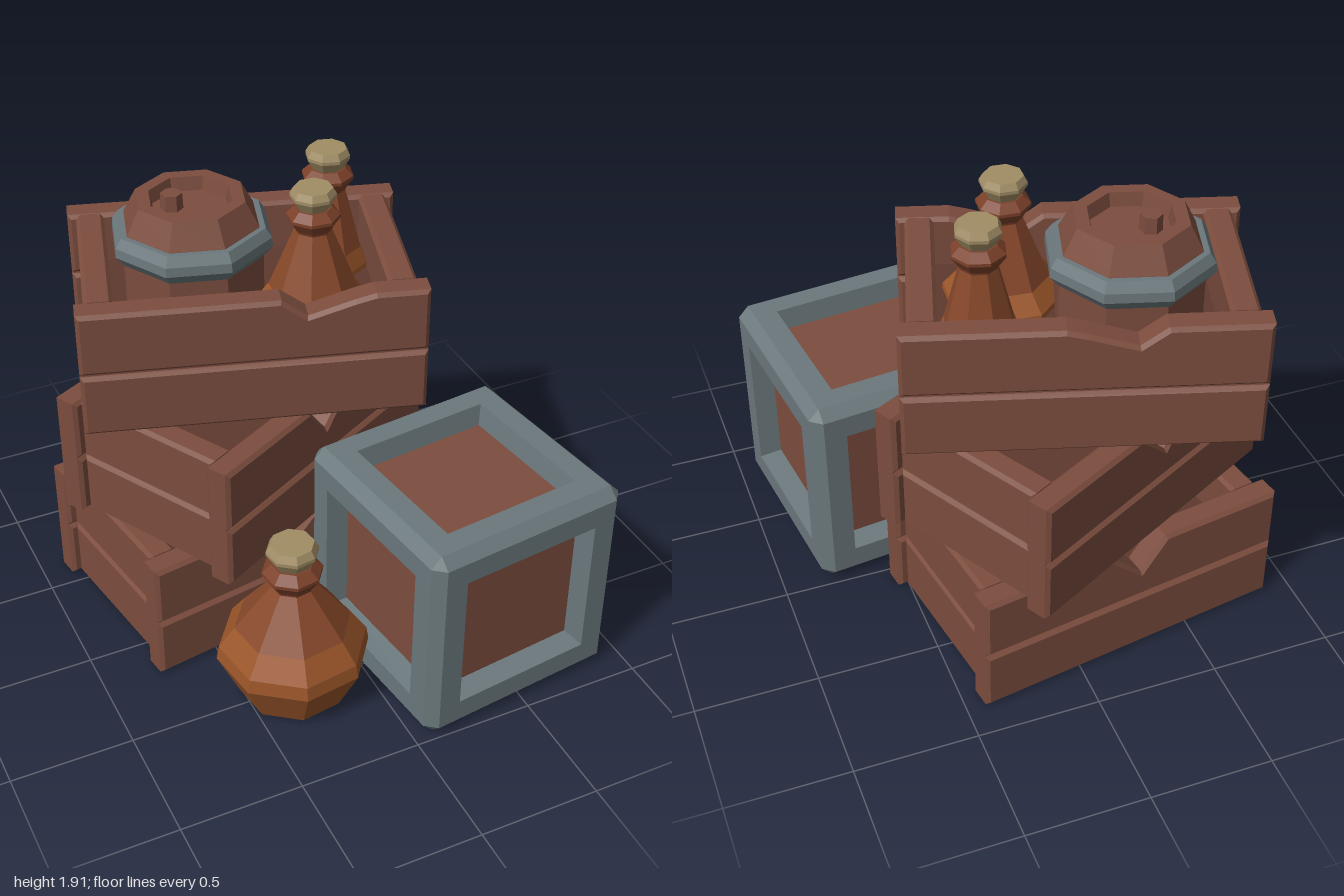
import * as THREE from 'three';
import { ConvexGeometry } from 'three/addons/geometries/ConvexGeometry.js';

const mat = (color) => new THREE.MeshStandardMaterial({ color, flatShading: true });
const wood = mat(0x7c4d3e), darkWood = mat(0x5e392e), metal = mat(0x6b787c);
const glass = mat(0x9a5529), shoulderGlass = mat(0x87482a), neckGlass = mat(0x7c4129), cork = mat(0xa18d66);

function add(parent, name, geometry, material, x = 0, y = 0, z = 0) {
  const mesh = new THREE.Mesh(geometry, material);
  mesh.name = name;
  mesh.position.set(x, y, z);
  parent.add(mesh);
  return mesh;
}

function group(parent, name, x, y, z, ry = 0) {
  const g = new THREE.Group();
  g.name = name;
  g.position.set(x, y, z);
  g.rotation.y = ry;
  parent.add(g);
  return g;
}

const lathe = (pts, sides, phi = 0) =>
  new THREE.LatheGeometry(pts.map(([r, y]) => new THREE.Vector2(r, y)), sides, phi);

const H = 0.533, T = 0.112, BEVEL = 0.015, INSET = 0.035;

// One chamfered plank; notch = [x, drop] points cut into its top edge
function plank(width, y0, y1, notch = []) {
  const w = width / 2;
  const cut = notch.map(([x, d]) => [x, y1 - d]).reverse();
  const pts = [[-w, y0], [w, y0], [w, y1], ...cut, [-w, y1]];
  const shape = new THREE.Shape(pts.map(([x, y]) => new THREE.Vector2(x, y)));
  return new THREE.ExtrudeGeometry(shape, {
    depth: T - 2 * BEVEL, bevelThickness: BEVEL, bevelSize: BEVEL,
    bevelOffset: -BEVEL, bevelSegments: 1,
  }).translate(0, 0, BEVEL - T);
}

// Wall of two planks whose outer face lies at local z = 0
function wall(parent, name, width, x, z, ry, notch) {
  const g = group(parent, name, x, 0, z, ry);
  add(g, 'lowerPlank', plank(width, 0, 0.262), wood);
  add(g, 'upperPlank', plank(width, 0.27, H, notch), wood);
  add(g, 'groove', new THREE.BoxGeometry(width - 0.002, 0.08, T - 0.036), wood, 0, 0.266, -T / 2);
}

function crate(parent, name, [x, y, z], ry, [length, width], frontNotch, backNotch) {
  const g = group(parent, name, x, y, z, ry);
  const flipped = backNotch.map(([px, d]) => [-px, d]).reverse();
  wall(g, 'frontWall', length, 0, width / 2, 0, frontNotch);
  wall(g, 'backWall', length, 0, -width / 2, Math.PI, flipped);
  for (const s of [-1, 1]) {
    wall(g, s > 0 ? 'leftWall' : 'rightWall', width - 2 * T + 0.02, s * (length / 2 - INSET), 0, s * Math.PI / 2, []);
  }
  add(g, 'crateBottom', new THREE.BoxGeometry(length - 0.12, 0.322, width - 0.05), darkWood, 0, 0.162, 0);
}

// Metal-edged box: chamfered edges, six square frames and a recessed wooden core
function framedBox(parent, x, z, ry) {
  const a = 0.445, b = 0.4, core = 0.355, pts = [];
  const g = group(parent, 'framedBox', x, a, z, ry);
  for (const i of [-1, 1]) for (const j of [-1, 1]) for (const k of [-1, 1]) {
    pts.push(new THREE.Vector3(i * a, j * b, k * b), new THREE.Vector3(i * b, j * a, k * b), new THREE.Vector3(i * b, j * b, k * a));
  }
  // Keep only the chamfers of the hull, leaving the six faces open
  const hull = new ConvexGeometry(pts);
  const p = hull.attributes.position, n = hull.attributes.normal, kept = [];
  for (let i = 0; i < p.count; i += 3) {
    if (Math.max(Math.abs(n.getX(i)), Math.abs(n.getY(i)), Math.abs(n.getZ(i))) > 0.99) continue;
    for (let k = i; k < i + 3; k++) kept.push(p.getX(k), p.getY(k), p.getZ(k));
  }
  const edges = new THREE.BufferGeometry();
  edges.setAttribute('position', new THREE.Float32BufferAttribute(kept, 3));
  edges.computeVertexNormals();
  add(g, 'chamferedEdges', edges, metal);

  const q = Math.SQRT2;
  const frame = lathe([[b * q, a], [0.305 * q, a], [0.288 * q, core]], 4, Math.PI / 4);
  const turns = [[0, 0], [Math.PI, 0], [Math.PI / 2, 0], [-Math.PI / 2, 0], [0, Math.PI / 2], [0, -Math.PI / 2]];
  for (const [rx, rz] of turns) add(g, 'faceFrame', frame, metal).rotation.set(rx, 0, rz);
  add(g, 'woodenPanels', new THREE.BoxGeometry(2 * core, 2 * core, 2 * core), wood);
}

// Bottle: body profile, then shoulder, neck ring and cork sitting at height neckY
function bottle(parent, name, [x, y, z], ry, body, neckY, s) {
  const g = group(parent, name, x, y, z, ry);
  add(g, 'bottleBody', lathe([[0, 0], ...body], 8), glass);
  add(g, 'bottleShoulder', lathe([body.at(-1), [0.085 * s, neckY]], 8), shoulderGlass);
  const ring = [[0.08, -0.02], [0.088, 0.01], [0.122, 0.06], [0.122, 0.075], [0.085, 0.11], [0, 0.11]];
  const stopper = [[0, 0.1], [0.072, 0.105], [0.105, 0.16], [0.105, 0.175], [0.088, 0.205], [0, 0.205]];
  const scale = (pts) => lathe(pts.map(([r, h]) => [r * s, h * s]), 8);
  add(g, 'neckRing', scale(ring), neckGlass, 0, neckY, 0);
  add(g, 'cork', scale(stopper), cork, 0, neckY, 0);
}

function barrel(parent, x, y, z, ry) {
  const g = group(parent, 'barrel', x, y, z, ry);
  add(g, 'barrelBody', lathe([[0, 0], [0.29, 0], [0.29, 0.3], [0.275, 0.34], [0.222, 0.44], [0.168, 0.44],
    [0.155, 0.385], [0, 0.385]], 8), wood);
  add(g, 'barrelHoop', lathe([[0.27, 0.205], [0.29, 0.215], [0.328, 0.262], [0.325, 0.3], [0.3, 0.338], [0.265, 0.338]], 8), metal);
  add(g, 'bung', new THREE.CylinderGeometry(0.042, 0.046, 0.09, 6), wood, -0.06, 0.405, -0.04);
}

export function createModel() {
  const model = new THREE.Group();
  model.name = 'crateStack';

  // Three stacked crates, each turned differently
  const vee = [[-0.14, 0], [-0.03, 0.14], [0.12, 0]];
  const chip = (x) => [[x, 0], [x + 0.1, 0.075], [x + 0.28, 0.02], [x + 0.36, 0]];
  crate(model, 'bottomCrate', [-0.17, 0, -0.335], 0.16, [1.335, 0.875], vee, vee);
  crate(model, 'middleCrate', [-0.145, 0.535, -0.308], 0.49, [1.318, 0.885], vee, vee);
  crate(model, 'topCrate', [-0.145, 1.068, -0.308], -0.295, [1.335, 0.885], chip(0.1), chip(-0.29));

  framedBox(model, 0.438, 0.505, 0.12);

  // Goods
  bottle(model, 'floorBottle', [-0.295, 0, 0.475], 0.54, [[0.22, 0], [0.31, 0.19], [0.3, 0.25], [0.235, 0.34]], 0.53, 1);
  bottle(model, 'frontBottle', [0.068, 1.38, -0.105], 0.3, [[0.24, 0], [0.235, 0.03], [0.175, 0.1]], 0.35, 0.86);
  bottle(model, 'backBottle', [0.262, 1.38, -0.38], 0.1, [[0.17, 0], [0.165, 0.03], [0.138, 0.1]], 0.35, 0.86);
  barrel(model, -0.319, 1.38, -0.392, 0.1);
  return model;
}
